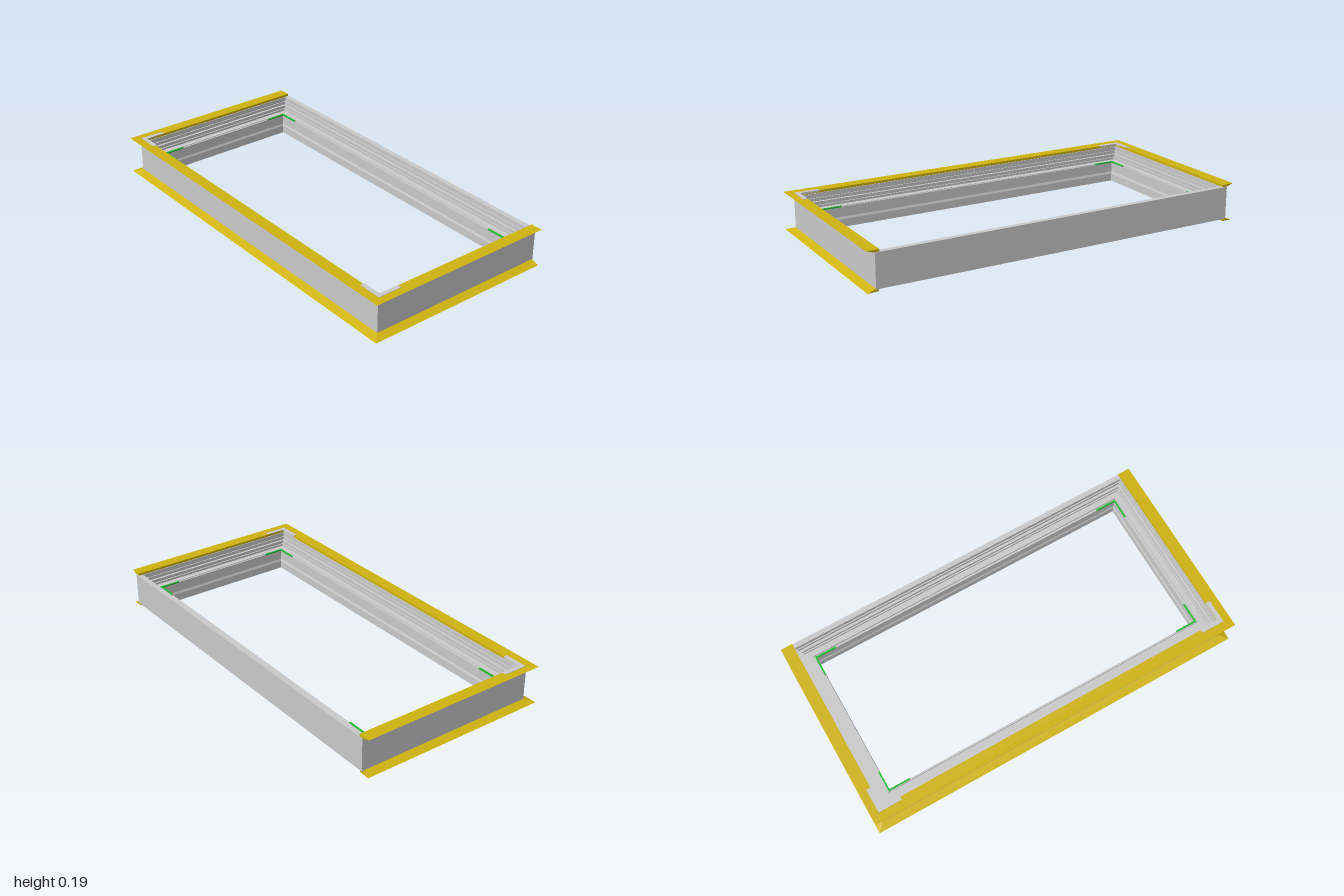
import * as THREE from 'three';

const HX = 0.96, BACK = -0.5, FRONT = 0.46; // outer faces of the frame

// Corner points [x, z] of the frame outline, moved inward by d
const ringPath = d => [[-HX + d, BACK + d], [-HX + d, FRONT - d], [HX - d, FRONT - d], [HX - d, BACK + d]];
const threeSidedPath = d => [[-HX + d, BACK + 0.003], [-HX + d, FRONT - d], [HX - d, FRONT - d], [HX - d, BACK + 0.003]];

// Sweep a profile of [inward offset, height] along a mitred path
function sweep(profile, path, closed) {
  const pos = [];
  const pt = (corner, i) => {
    const [d, y] = profile[i % profile.length];
    const [x, z] = path(d)[corner % 4];
    return [x, y, z];
  };
  for (let s = 0; s < (closed ? 4 : 3); s++) {
    for (let i = 0; i < profile.length; i++) {
      const a = pt(s, i), b = pt(s + 1, i), c = pt(s + 1, i + 1), e = pt(s, i + 1);
      pos.push(...a, ...b, ...c, ...a, ...c, ...e);
    }
  }
  if (!closed) { // end caps
    const tris = THREE.ShapeUtils.triangulateShape(profile.map(p => new THREE.Vector2(...p)), []);
    for (const [a, b, c] of tris) {
      pos.push(...pt(0, a), ...pt(0, b), ...pt(0, c));
      pos.push(...pt(3, a), ...pt(3, c), ...pt(3, b));
    }
  }
  const g = new THREE.BufferGeometry();
  g.setAttribute('position', new THREE.Float32BufferAttribute(pos, 3));
  g.computeVertexNormals();
  return g;
}

export function createModel() {
  const model = new THREE.Group();
  const grey = new THREE.MeshStandardMaterial({ color: 0xcccccc });
  const yellow = new THREE.MeshStandardMaterial({ color: 0xd0b410, side: THREE.DoubleSide });
  const green = new THREE.MeshStandardMaterial({ color: 0x20c030 });

  const add = (name, geometry, material) => {
    const mesh = new THREE.Mesh(geometry, material);
    mesh.name = name;
    model.add(mesh);
    return mesh;
  };
  const addBox = (name, w, h, d, x, y, z, material) =>
    add(name, new THREE.BoxGeometry(w, h, d), material).position.set(x, y, z);

  // Main frame: outer wall, stepped rebate, inner leg and grooved underside
  add('frame', sweep([
    [0, 0.013], [0, 0.181], [0.026, 0.181], [0.026, 0.158], [0.032, 0.158],
    [0.032, 0.142], [0.045, 0.142], [0.045, 0.126], [0.052, 0.126], [0.052, 0.115],
    [0.082, 0.115], [0.082, 0.105], [0.087, 0.105], [0.087, 0.115], [0.096, 0.115],
    [0.096, 0.062], [0.1, 0.05], [0.1, 0.01], [0.085, 0.01], [0.085, 0.02],
    [0.075, 0.02], [0.075, 0.01], [0.04, 0.01], [0.04, 0.02], [0.03, 0.02], [0.03, 0.013],
  ], ringPath, true), grey);

  // Tapered trims along the front and both sides
  add('topTrim', sweep([[-0.04, 0.193], [0.022, 0.193], [0.022, 0.18], [0, 0.18]],
    threeSidedPath, false), yellow);
  add('bottomTrim', sweep([[-0.04, 0], [0, 0.015], [0.014, 0.015], [0.014, 0.002]],
    threeSidedPath, false), yellow);

  for (const s of [-1, 1]) {
    const side = s > 0 ? 'left' : 'right';

    // Corner plates set into the top trim
    addBox(side + 'CornerPlateSide', 0.022, 0.01, 0.125, s * 0.949, 0.19, 0.3925, grey);
    addBox(side + 'CornerPlateFront', 0.1, 0.01, 0.022, s * 0.888, 0.19, 0.444, grey);

    // Green corner keys on the inner ledge
    for (const [end, z, inward] of [['Back', -0.4055, 1], ['Front', 0.3655, -1]]) {
      addBox(side + end + 'KeyLong', 0.11, 0.006, 0.008, s * 0.81, 0.116, z, green);
      addBox(side + end + 'KeyShort', 0.008, 0.006, 0.11, s * 0.8655, 0.116, z + inward * 0.05, green);
    }
  }
  return model;
}
